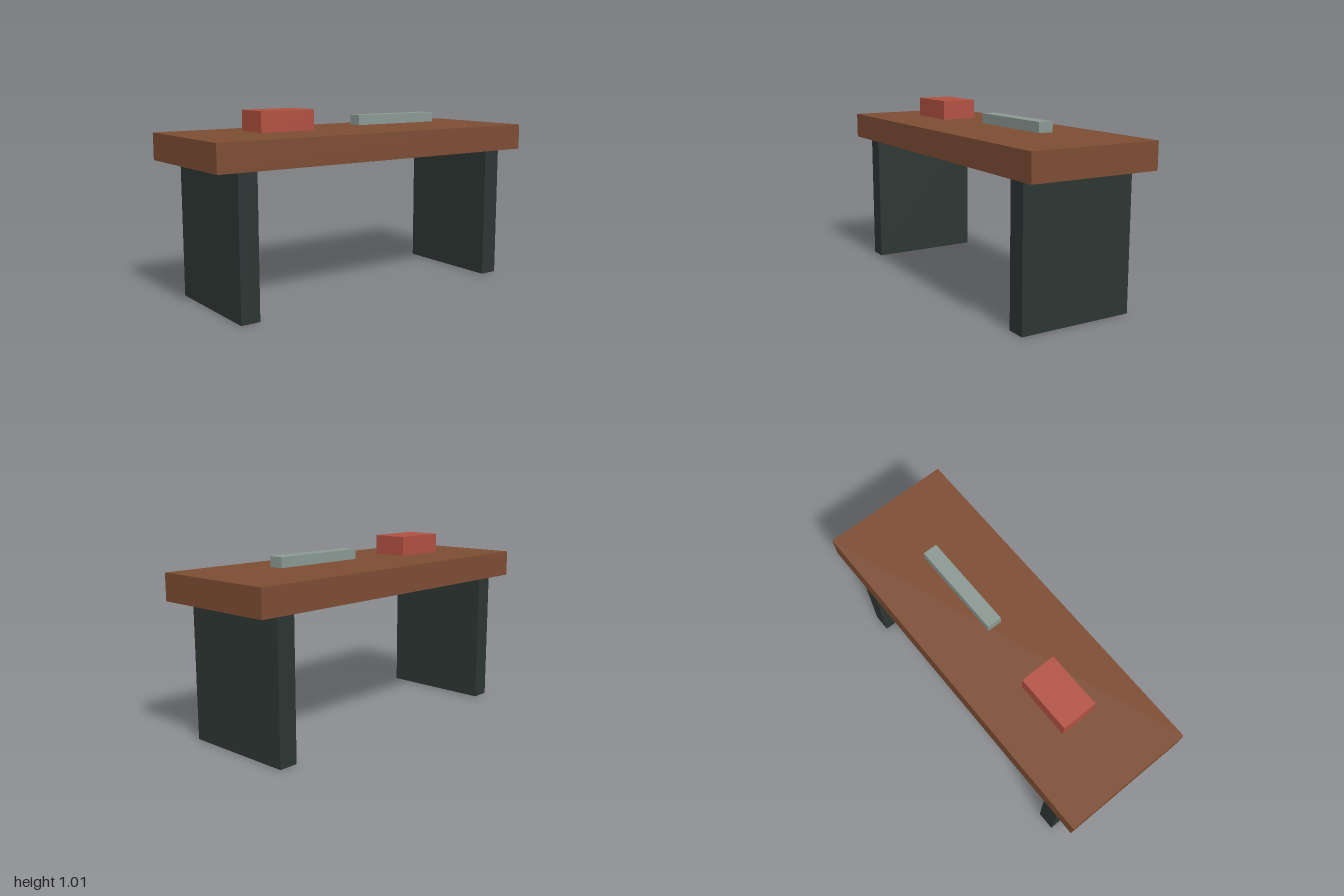
import * as THREE from 'three';

const material = (name, color) => {
  const m = new THREE.MeshStandardMaterial({ color });
  m.name = name;
  return m;
};

export function createModel() {
  const wood = material('brown wood', 0x7c4c33);
  const steel = material('dark steel', 0x2c3533);
  const red = material('red paint', 0xb05040);
  const grey = material('grey metal', 0x8a9892);

  const group = new THREE.Group();
  group.name = 'workbench';

  // Box given by its size, centre x and underside height
  const addBox = (name, mat, [w, h, d], x, bottom) => {
    const mesh = new THREE.Mesh(new THREE.BoxGeometry(w, h, d), mat);
    mesh.name = name;
    mesh.position.set(x, bottom + h / 2, 0);
    group.add(mesh);
  };

  // Thick top on two slab legs
  addBox('benchTop', wood, [2, 0.145, 0.725], 0, 0.747);
  for (const side of [-1, 1]) {
    addBox(side > 0 ? 'leftLeg' : 'rightLeg', steel, [0.105, 0.747, 0.636], side * 0.818, 0);
  }

  // Objects resting just above the top
  addBox('redBlock', red, [0.318, 0.109, 0.2], -0.457, 0.901);
  addBox('metalBar', grey, [0.546, 0.055, 0.082], 0.316, 0.909);

  return group;
}
